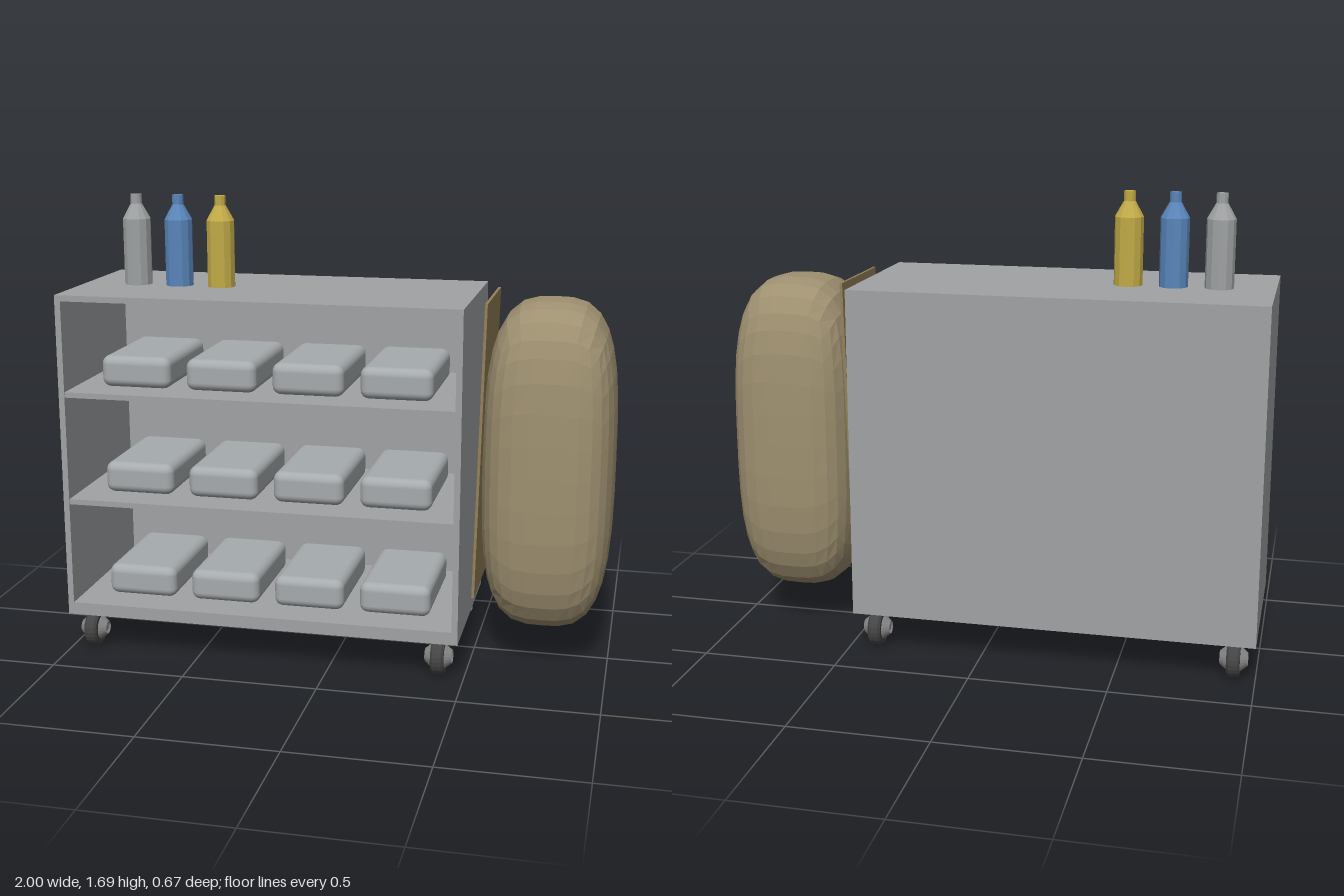
import * as THREE from 'three';
import { RoundedBoxGeometry } from 'three/addons/geometries/RoundedBoxGeometry.js';

const paint = (name, color) => {
  const m = new THREE.MeshStandardMaterial({ color });
  m.name = name;
  return m;
};

// Gives every face its own normals, for a faceted look
function facet(geometry) {
  const g = geometry.index ? geometry.toNonIndexed() : geometry;
  g.computeVertexNormals();
  return g;
}

// Soft, stuffed block: a gridded box pushed onto a rounded superellipsoid
function softBlock(w, h, d, power) {
  const g = new THREE.BoxGeometry(2, 2, 2, 8, 10, 8);
  const p = g.attributes.position;
  const v = new THREE.Vector3();
  for (let i = 0; i < p.count; i++) {
    v.fromBufferAttribute(p, i);
    const len = Math.pow(
      Math.abs(v.x) ** power + Math.abs(v.y) ** power + Math.abs(v.z) ** power, 1 / power);
    p.setXYZ(i, v.x / len * w / 2, v.y / len * h / 2, v.z / len * d / 2);
  }
  return facet(g);
}

const lathe = (points, sides) =>
  new THREE.LatheGeometry(points.map(([r, y]) => new THREE.Vector2(r, y)), sides);

export function createModel() {
  const model = new THREE.Group();
  model.name = 'housekeepingCart';

  const cabinetGrey = paint('cabinetGrey', 0xa0a2a4);
  const towelGrey = paint('towelGrey', 0xa6abad);
  const canvasTan = paint('canvasTan', 0x9e9070);
  const panelTan = paint('panelTan', 0x948259);
  const tyreDark = paint('tyreDark', 0x454545);
  const hubGrey = paint('hubGrey', 0x858585);
  const bottleGrey = paint('bottleGrey', 0x9fa2a3);
  const bottleBlue = paint('bottleBlue', 0x5a86bb);
  const bottleYellow = paint('bottleYellow', 0xc2ac48);

  const add = (name, geometry, material, x, y, z, parent = model) => {
    const mesh = new THREE.Mesh(geometry, material);
    mesh.name = name;
    mesh.position.set(x, y, z);
    parent.add(mesh);
    return mesh;
  };

  // Cabinet: open at the front
  const cabinet = new THREE.Group();
  cabinet.name = 'cabinet';
  model.add(cabinet);
  const board = (name, x0, x1, y0, y1, z0, z1) =>
    add(name, new THREE.BoxGeometry(x1 - x0, y1 - y0, z1 - z0), cabinetGrey,
      (x0 + x1) / 2, (y0 + y1) / 2, (z0 + z1) / 2, cabinet);
  const L = -1, R = 0.48, B = 0.14, T = 1.355, D = 0.335, t = 0.022;
  board('topPanel', L, R, T - t, T, -D, D);
  board('bottomPanel', L, R, B, 0.187, -D, D);
  board('rightPanel', L, L + t, 0.187, T - t, -D, D);
  board('leftPanel', R - t, R, 0.187, T - t, -D, D);
  board('backPanel', L + t, R - t, 0.187, T - t, -D, -D + t);
  for (const top of [0.592, 0.998]) {
    board('shelf', L + t, R - t, top - 0.02, top, -D + t, D - 0.004);
  }

  // Folded towels on each shelf
  const towel = new RoundedBoxGeometry(0.265, 0.117, 0.44, 3, 0.032);
  for (const base of [0.187, 0.592, 0.998]) {
    for (let i = 0; i < 4; i++) {
      add('towel', towel, towelGrey, -0.748 + i * 0.325, base + 0.0585, 0);
    }
  }

  // Spray bottles on top
  const bottle = facet(lathe(
    [[0, 0], [0.052, 0], [0.052, 0.245], [0.021, 0.3], [0.021, 0.335], [0, 0.335]], 12));
  [bottleGrey, bottleBlue, bottleYellow].forEach((material, i) => {
    add('bottle', bottle, material, -0.8 + i * 0.1625, T, 0);
  });

  // Laundry bag and its leaning back plate
  add('laundryBag', softBlock(0.475, 1.207, 0.53, 3.3), canvasTan, 0.761, 0.748, 0);
  const plate = add('bagPlate', new THREE.BoxGeometry(0.01, 1.08, 0.4), panelTan, 0.527, 0.815, 0);
  plate.rotation.z = -0.024;

  // Castor wheels: a tyre with a tapered hub bulging out on both sides
  const tyre = lathe(
    [[0.04, -0.024], [0.06, -0.024], [0.069, -0.016], [0.069, 0.016], [0.06, 0.024], [0.04, 0.024]], 24);
  const hub = facet(lathe(
    [[0, -0.046], [0.012, -0.046], [0.014, -0.04], [0.024, -0.05], [0.046, -0.023],
      [0.046, 0.023], [0.024, 0.05], [0.014, 0.04], [0.012, 0.046], [0, 0.046]], 20));
  const tyreFaceted = facet(tyre);
  for (const x of [-0.921, 0.404]) {
    for (const z of [-0.268, 0.268]) {
      const wheel = new THREE.Group();
      wheel.name = 'wheel';
      wheel.position.set(x, 0.069, z);
      wheel.rotation.z = Math.PI / 2;
      model.add(wheel);
      add('tyre', tyreFaceted, tyreDark, 0, 0, 0, wheel);
      add('hub', hub, hubGrey, 0, 0, 0, wheel);
      // Short stem up to the cabinet floor
      add('stem', new THREE.BoxGeometry(0.03, 0.03, 0.03), tyreDark, x, 0.128, z);
    }
  }

  return model;
}
